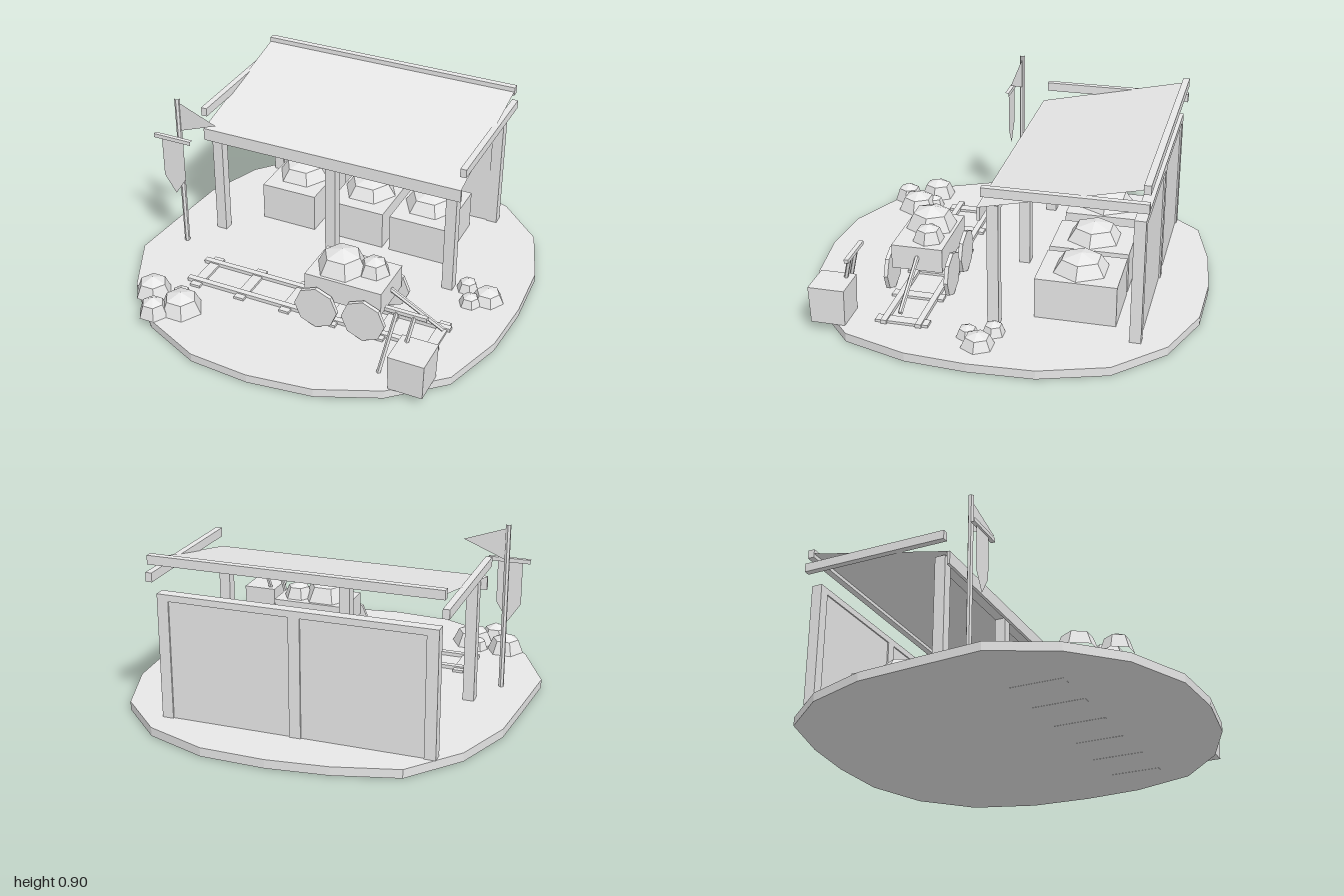
import * as THREE from 'three';

export function createModel() {
  const model = new THREE.Group();
  model.name = 'miningCamp';
  const grey = new THREE.MeshStandardMaterial({ color: 0xe7e7e7, flatShading: true });
  grey.name = 'light grey';
  const sheet = new THREE.MeshStandardMaterial({ color: 0xe7e7e7, flatShading: true, side: THREE.DoubleSide });
  sheet.name = 'light grey sheet';

  const add = (parent, name, geometry, x = 0, y = 0, z = 0, material = grey) => {
    const mesh = new THREE.Mesh(geometry, material);
    mesh.name = name;
    mesh.position.set(x, y, z);
    parent.add(mesh);
    return mesh;
  };
  const group = (name) => {
    const g = new THREE.Group();
    g.name = name;
    model.add(g);
    return g;
  };
  // Box given by its extents on each axis
  const box = (parent, name, x0, x1, y0, y1, z0, z1) =>
    add(parent, name, new THREE.BoxGeometry(x1 - x0, y1 - y0, z1 - z0), (x0 + x1) / 2, (y0 + y1) / 2, (z0 + z1) / 2);
  // Faceted rod between two points
  const rod = (parent, name, a, b, radius, sides) => {
    const from = new THREE.Vector3(...a), to = new THREE.Vector3(...b);
    const dir = to.clone().sub(from);
    const mesh = add(parent, name, new THREE.CylinderGeometry(radius, radius, dir.length(), sides));
    mesh.position.copy(from).add(to).multiplyScalar(0.5);
    mesh.quaternion.setFromUnitVectors(new THREE.Vector3(0, 1, 0), dir.normalize());
    return mesh;
  };
  // Six-sided faceted dome used for every stone
  const dome = (parent, name, x, y, z, radius, height) => {
    const geometry = new THREE.SphereGeometry(1, 6, 2, 0, Math.PI * 2, 0, Math.PI / 2);
    geometry.scale(radius, height, radius);
    return add(parent, name, geometry, x, y, z);
  };
  const shape = (points) => new THREE.Shape(points.map((p) => new THREE.Vector2(...p)));
  const flat = (points) => new THREE.ShapeGeometry(shape(points));

  const G = 0.045; // ground level

  // Ground slab: uneven twenty-sided disc, points as x and -z
  const slab = new THREE.ExtrudeGeometry(shape([
    [0, 1], [0.322, 0.991], [0.63, 0.878], [0.864, 0.65], [0.973, 0.327],
    [0.989, 0.01], [0.968, -0.292], [0.868, -0.61], [0.624, -0.83], [0.325, -0.958],
    [0, -1], [-0.308, -0.978], [-0.619, -0.838], [-0.842, -0.614], [-0.99, -0.307],
    [-0.965, 0.01], [-0.937, 0.328], [-0.825, 0.63], [-0.614, 0.88], [-0.3, 0.965],
  ]), { depth: G - 0.001, bevelEnabled: false });
  slab.rotateX(-Math.PI / 2);
  add(model, 'ground', slab, 0, 0.001, 0);

  // Shed: posts, back wall, roof frame and sloping cloth
  const shed = group('shed');
  for (const x of [-0.7, -0.05, 0.604]) {
    box(shed, 'frontPost', x - 0.028, x + 0.028, G, 0.673, -0.072, -0.017);
    box(shed, 'backPost', x - 0.028, x + 0.028, G, 0.673, -0.752, -0.697);
  }
  box(shed, 'backWall', -0.68, 0.58, G, 0.65, -0.744, -0.704);
  box(shed, 'wallTopRail', -0.68, 0.58, 0.64, 0.673, -0.752, -0.697);
  box(shed, 'frontCrossRail', -0.68, 0.58, 0.64, 0.673, -0.072, -0.017);
  box(shed, 'frontBeam', -0.754, 0.662, 0.605, 0.672, 0.006, 0.021);
  box(shed, 'ridgeBeam', -0.755, 0.663, 0.819, 0.863, -0.771, -0.737);
  for (const x of [-0.76, 0.66]) box(shed, 'sideBeam', x - 0.016, x + 0.016, 0.733, 0.778, -0.769, -0.002);
  const rise = 0.168, run = 0.757;
  const roof = new THREE.PlaneGeometry(1.415, Math.hypot(rise, run));
  roof.rotateX(Math.atan2(rise, run) - Math.PI / 2);
  add(shed, 'roof', roof, -0.047, 0.672 + rise / 2, 0.012 - run / 2, sheet);

  // Ore crates under the roof
  const crates = group('oreCrates');
  for (const x of [-0.391, 0.006, 0.354]) {
    box(crates, 'crate', x - 0.154, x + 0.154, G, 0.252, -0.614, -0.215);
    dome(crates, 'crateOre', x, 0.252, -0.413, 0.143, 0.088);
  }

  // Railway track
  const track = group('track');
  for (let i = 0; i < 6; i++) {
    const x = -0.561 + i * 0.253;
    box(track, 'sleeper', x - 0.027, x + 0.027, 0, 0.058, 0.249, 0.511);
  }
  for (const z of [0.293, 0.465]) box(track, 'rail', -0.62, 0.745, 0.047, 0.066, z - 0.015, z + 0.015);

  // Mine cart with ore and pull handle
  const cart = group('mineCart');
  box(cart, 'cartBody', 0.065, 0.465, 0.2, 0.323, 0.252, 0.509);
  for (const x of [0.137, 0.386]) {
    for (const z of [0.228, 0.533]) {
      const wheel = add(cart, 'wheel', new THREE.CylinderGeometry(0.113, 0.113, 0.02, 8), x, 0.16, z);
      wheel.rotation.x = Math.PI / 2;
    }
  }
  dome(cart, 'cartOre', 0.207, 0.323, 0.381, 0.13, 0.108);
  dome(cart, 'cartOreSmall', 0.362, 0.323, 0.35, 0.08, 0.083);
  rod(cart, 'cartHandle', [0.44, 0.28, 0.38], [0.738, 0.113, 0.38], 0.012, 6);

  // Loose stones: x, z, radius, height
  const stones = group('stones');
  for (const [x, z, r, h] of [
    [-0.725, 0.635, 0.097, 0.097], [-0.53, 0.692, 0.112, 0.1],
    [-0.576, 0.613, 0.056, 0.065], [-0.635, 0.782, 0.078, 0.095],
    [0.7, -0.065, 0.058, 0.065], [0.823, -0.02, 0.083, 0.07], [0.752, 0.047, 0.057, 0.06],
  ]) dome(stones, 'stone', x, G, z, r, h);

  // Tapered bin at the edge of the ground
  const bin = new THREE.CylinderGeometry(0.09 * Math.SQRT2, 0.085 * Math.SQRT2, 0.187, 4);
  bin.rotateY(Math.PI / 4);
  add(model, 'bin', bin, 0.717, G + 0.093, 0.722);

  // Tools leaning beside the bin
  const tools = group('tools');
  for (const x of [0.543, 0.63]) rod(tools, 'toolHandle', [x, 0.008, 0.728], [x + 0.056, 0.357, 0.638], 0.011, 5);
  box(tools, 'toolHead', 0.54, 0.747, 0.35, 0.369, 0.623, 0.645);

  // Flagpole with pennant and hanging banner; pole and bar are open tubes
  const flag = group('flagpole');
  add(flag, 'pole', new THREE.CylinderGeometry(0.014, 0.014, 0.855, 6, 1, true), -0.813, G + 0.4275, 0.158);
  const pennant = add(flag, 'pennant', flat([[0, 0.715], [0.22, 0.8], [0, 0.88]]), -0.81, 0, 0.158, sheet);
  pennant.rotation.y = -0.05;
  const barTube = new THREE.CylinderGeometry(0.0145, 0.0145, 0.212, 4, 1, true);
  barTube.rotateY(Math.PI / 4);
  barTube.rotateZ(Math.PI / 2);
  add(flag, 'bannerBar', barTube, -0.814, 0.7, 0.221);
  add(flag, 'banner', flat([[-0.88, 0.695], [-0.88, 0.473], [-0.817, 0.376], [-0.755, 0.473], [-0.755, 0.695]]), 0, 0, 0.221, sheet);

  return model;
}
